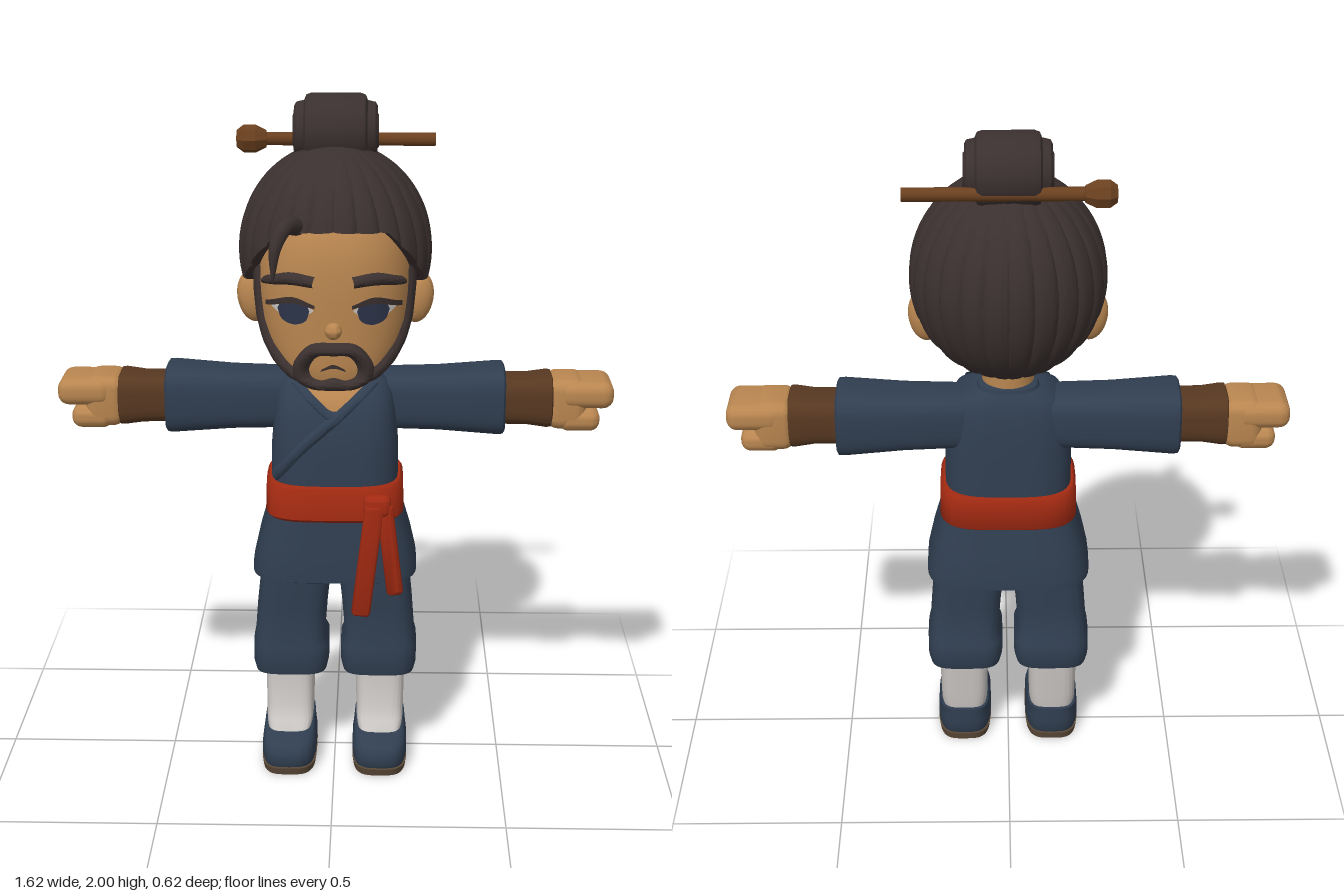
import * as THREE from 'three';
import { mergeVertices, toCreasedNormals } from 'three/addons/utils/BufferGeometryUtils.js';
import { RoundedBoxGeometry } from 'three/addons/geometries/RoundedBoxGeometry.js';

const mat = (name, color) => Object.assign(new THREE.MeshStandardMaterial({ color, side: THREE.DoubleSide }), { name });
const SKIN = mat('skin', 0xb98650), HAIR = mat('hair', 0x3a302f), NAVY = mat('navy cloth', 0x303e50),
  RED = mat('red sash', 0xa32a12), LEATHER = mat('leather', 0x573821), WOOD = mat('wood', 0x6a401f),
  WHITE = mat('sock white', 0xc6c2bf), SOLE = mat('sole', 0x5a4836), IRIS = mat('iris', 0x2c3449);

// Indexed sheet from a rule f(u, v); u may wrap around.
function grid(nu, nv, f, wrap = false) {
  const pos = [], idx = [], cols = wrap ? nu : nu + 1;
  for (let j = 0; j <= nv; j++) for (let i = 0; i < cols; i++) pos.push(...f(i / nu, j / nv, j));
  for (let j = 0; j < nv; j++) for (let i = 0; i < nu; i++) {
    const k = (i + 1) % cols, a = j * cols + i, b = j * cols + k, c = b + cols, d = a + cols;
    idx.push(a, b, c, a, c, d);
  }
  const g = new THREE.BufferGeometry();
  g.setAttribute('position', new THREE.Float32BufferAttribute(pos, 3));
  g.setIndex(idx);
  return g;
}

// Point on a superellipse section [y, halfWidth, zFront, zBack, centreX]; angle 0 faces +z.
const spow = (t, p) => Math.sign(t) * Math.abs(t) ** p;
function onSection([y, rx, zf, zb, cx = 0], n, a, off = 0) {
  return [cx + (rx + off) * spow(Math.sin(a), 2 / n), y, (zf + zb) / 2 + ((zf - zb) / 2 + off) * spow(Math.cos(a), 2 / n)];
}

// Closed body through a stack of sections.
function loft(secs, n = 4, nu = 48) {
  const last = secs.length + 1;
  return grid(nu, last, (u, v, j) => {
    const s = secs[THREE.MathUtils.clamp(j - 1, 0, secs.length - 1)];
    if (j === 0 || j === last) return [s[4] || 0, s[0], (s[2] + s[3]) / 2];
    return onSection(s, n, u * Math.PI * 2);
  }, true);
}

// Section of a stack at any height.
function sectionAt(secs, y) {
  let i = 0;
  while (i < secs.length - 2 && secs[i + 1][0] < y) i++;
  const t = THREE.MathUtils.clamp((y - secs[i][0]) / (secs[i + 1][0] - secs[i][0]), 0, 1);
  const s = [0, 1, 2, 3].map(k => THREE.MathUtils.lerp(secs[i][k], secs[i + 1][k], t));
  s[0] = y;
  return s;
}

// Raised or thin sheet on a body, between two edges given as [x, y] or, with polar, [angle, y].
function patch(body, lower, upper, off, { bulge = false, polar = false, closed = false } = {}) {
  const [lo, up] = [lower, upper].map(e => new THREE.CatmullRomCurve3(e.map(p => new THREE.Vector3(p[0], p[1], 0)), closed));
  return grid(closed ? 64 : 28, 8, (u, v) => {
    const p = lo.getPoint(u).lerp(up.getPoint(u), v), s = sectionAt(body.secs, p.y);
    const a = polar ? p.x : Math.asin(spow(THREE.MathUtils.clamp(p.x / s[1], -1, 1), body.n / 2));
    const o = bulge ? off * Math.sin(Math.PI * v) ** 0.5 - 0.004 : off;
    return onSection(s, body.n, a, o);
  });
}

function mirror(geo) {
  const g = geo.clone().scale(-1, 1, 1), ix = g.index.array;
  for (let i = 0; i < ix.length; i += 3) [ix[i], ix[i + 1]] = [ix[i + 1], ix[i]];
  return g;
}

export function createModel() {
  const model = new THREE.Group();
  model.name = 'figure';
  const add = (name, geo, material, crease = 0.8) => {
    const g = geo.clone();
    g.deleteAttribute('normal');
    g.deleteAttribute('uv');
    const mesh = new THREE.Mesh(toCreasedNormals(g, crease), material);
    mesh.name = name;
    model.add(mesh);
  };
  const pair = (name, geo, material, crease) => {
    add('left' + name, geo, material, crease);
    add('right' + name, mirror(geo), material, crease);
  };
  const block = (x0, x1, y0, y1, z0, z1, r) => {
    const g = new RoundedBoxGeometry(x1 - x0, y1 - y0, z1 - z0, 4, r);
    g.deleteAttribute('normal');
    g.deleteAttribute('uv');
    return mergeVertices(g.translate((x0 + x1) / 2, (y0 + y1) / 2, (z0 + z1) / 2));
  };

  // Feet and legs
  const fx = 0.137;
  pair('Sole', loft([[0, 0.08, 0.205, -0.105, fx], [0.022, 0.083, 0.21, -0.108, fx]], 3.5), SOLE);
  pair('Shoe', loft([[0.02, 0.078, 0.2, -0.1, fx], [0.035, 0.082, 0.206, -0.106, fx], [0.065, 0.082, 0.204, -0.107, fx],
    [0.085, 0.079, 0.19, -0.106, fx], [0.1, 0.077, 0.14, -0.106, fx], [0.113, 0.075, 0.08, -0.105, fx]], 3.5), NAVY);
  pair('Sock', loft([[0.08, 0.06, 0.13, -0.09, fx], [0.105, 0.068, 0.125, -0.093, fx], [0.125, 0.071, 0.095, -0.095, fx],
    [0.16, 0.072, 0.068, -0.096, fx], [0.3, 0.075, 0.06, -0.1, fx]]), WHITE);
  pair('TrouserLeg', loft([[0.28, 0.09, 0.09, -0.1, 0.132], [0.285, 0.108, 0.107, -0.125, 0.132], [0.31, 0.114, 0.112, -0.132, 0.132],
    [0.37, 0.114, 0.112, -0.13, 0.132], [0.395, 0.105, 0.105, -0.117, 0.135], [0.5, 0.105, 0.11, -0.115, 0.127],
    [0.68, 0.105, 0.11, -0.11, 0.108]]), NAVY);

  // Tunic
  const torso = { n: 3.3, secs: [[0.88, 0.185, 0.165, -0.145], [1, 0.185, 0.16, -0.14], [1.1, 0.177, 0.15, -0.132],
    [1.16, 0.168, 0.125, -0.125], [1.2, 0.15, 0.095, -0.115], [1.222, 0.1, 0.068, -0.1]] };
  add('tunicBody', loft(torso.secs, torso.n), NAVY);
  add('tunicSkirt', loft([[0.61, 0.232, 0.168, -0.178], [0.615, 0.243, 0.178, -0.187], [0.64, 0.242, 0.178, -0.186],
    [0.72, 0.224, 0.17, -0.17], [0.82, 0.195, 0.16, -0.15]], 3.8), NAVY);
  add('collar', loft([[1.2, 0.1, 0.05, -0.1], [1.232, 0.085, 0.04, -0.092], [1.235, 0.07, 0.03, -0.08]], 2.5), NAVY);
  add('openNeck', patch(torso, [[-0.095, 1.208], [-0.05, 1.165], [0, 1.13], [0.05, 1.165], [0.095, 1.208]],
    [[-0.095, 1.212], [-0.05, 1.222], [0, 1.222], [0.05, 1.222], [0.095, 1.212]], 0.004), SKIN);
  add('rightLapel', patch(torso, [[-0.125, 1.195], [-0.06, 1.135], [-0.01, 1.095]], [[-0.095, 1.212], [-0.045, 1.165], [0.005, 1.125]], 0.012, { bulge: true }), NAVY);
  add('leftLapel', patch(torso, [[-0.165, 0.91], [-0.09, 1.0], [0.02, 1.1], [0.125, 1.195]],
    [[-0.175, 0.95], [-0.1, 1.04], [0, 1.13], [0.095, 1.212]], 0.014, { bulge: true }), NAVY);

  // Sash with knot and two tails
  add('sash', loft([[0.8, 0.195, 0.166, -0.15], [0.81, 0.203, 0.177, -0.158], [0.9, 0.2, 0.174, -0.155], [0.91, 0.192, 0.166, -0.148]], 3.8), RED);
  const tail = (name, x, w, len, tilt, z) => add(name,
    block(-w / 2, w / 2, -len, 0, -0.02, 0.02, 0.014).rotateZ(tilt).translate(x, 0.87, z), RED);
  tail('longSashTail', 0.118, 0.055, 0.35, -0.115, 0.195);
  tail('shortSashTail', 0.145, 0.048, 0.285, 0.12, 0.187);
  add('sashKnot', block(0.085, 0.165, 0.83, 0.895, 0.165, 0.212, 0.02), RED);

  // Arms: lofted upright, then laid along x
  const arm = (secs, n) => loft(secs, n).rotateZ(-Math.PI / 2).translate(0, 1.123, 0);
  pair('Sleeve', arm([[0.08, 0.075, 0.04, -0.1], [0.15, 0.085, 0.052, -0.115], [0.3, 0.088, 0.058, -0.124], [0.47, 0.1, 0.067, -0.136],
    [0.488, 0.099, 0.066, -0.135], [0.494, 0.09, 0.058, -0.126], [0.48, 0.075, 0.045, -0.11]], 3.5), NAVY);
  pair('WristWrap', arm([[0.47, 0.07, 0.045, -0.105], [0.56, 0.071, 0.046, -0.106], [0.615, 0.078, 0.053, -0.113],
    [0.628, 0.077, 0.052, -0.112], [0.632, 0.068, 0.045, -0.104]], 3.5), LEATHER);
  pair('Palm', block(0.615, 0.73, 1.045, 1.195, -0.115, 0.05, 0.035), SKIN, 1.2);
  pair('Fingers', block(0.65, 0.808, 1.11, 1.19, -0.117, 0.055, 0.032), SKIN, 1.2);
  pair('FoldedFingers', block(0.65, 0.77, 1.04, 1.108, -0.112, 0.05, 0.03), SKIN, 1.2);

  // Head
  const head = { n: 2.4, secs: [[1.212, 0.06, 0.19, 0.09], [1.225, 0.1, 0.222, 0.04], [1.25, 0.14, 0.233, 0], [1.29, 0.172, 0.236, -0.07],
    [1.34, 0.195, 0.237, -0.13], [1.4, 0.21, 0.238, -0.17], [1.48, 0.217, 0.24, -0.2], [1.56, 0.217, 0.238, -0.22],
    [1.64, 0.205, 0.225, -0.22], [1.7, 0.18, 0.19, -0.2], [1.76, 0.12, 0.12, -0.15]] };
  add('head', loft(head.secs, head.n, 64), SKIN, 1.2);
  add('neck', new THREE.CylinderGeometry(0.075, 0.075, 0.2, 32).translate(0, 1.24, -0.01), SKIN);
  add('nose', new THREE.SphereGeometry(0.024, 20, 14).translate(0, 1.395, 0.24), SKIN, 3);
  pair('Ear', new THREE.SphereGeometry(1, 24, 16).scale(0.045, 0.075, 0.036).rotateZ(-0.15).translate(0.237, 1.43, -0.01), SKIN, 3);

  // Face
  pair('EyeWhite', patch(head, [[0.055, 1.45], [0.11, 1.415], [0.17, 1.45]], [[0.055, 1.455], [0.11, 1.482], [0.17, 1.455]], 0.003), WHITE);
  pair('Iris', patch(head, [[0.064, 1.45], [0.075, 1.422], [0.108, 1.41], [0.14, 1.422], [0.152, 1.45]],
    [[0.064, 1.45], [0.075, 1.472], [0.108, 1.48], [0.14, 1.472], [0.152, 1.45]], 0.005), IRIS);
  pair('EyeLid', patch(head, [[0.05, 1.458], [0.11, 1.47], [0.185, 1.45]], [[0.05, 1.468], [0.11, 1.488], [0.185, 1.464]], 0.007), HAIR);
  pair('Eyebrow', patch(head, [[0.055, 1.514], [0.12, 1.518], [0.19, 1.506]], [[0.05, 1.548], [0.12, 1.556], [0.185, 1.534]], 0.022, { bulge: true }), HAIR, 1.5);
  pair('JawBeard', patch(head, [[0.4, 1.222], [0.8, 1.23], [1.15, 1.26], [1.4, 1.33], [1.52, 1.42], [1.58, 1.55]],
    [[0.4, 1.28], [0.7, 1.29], [0.9, 1.325], [1.08, 1.37], [1.2, 1.44], [1.25, 1.55]], 0.02, { bulge: true, polar: true }), HAIR, 1.5);
  // Full loop from its right half
  const loop = half => [...half, ...half.slice(1, -1).reverse().map(([x, y]) => [-x, y])];
  add('moustacheAndGoatee', patch(head, loop([[0, 1.362], [0.065, 1.355], [0.106, 1.305], [0.1, 1.25], [0.055, 1.218], [0, 1.212]]),
    loop([[0, 1.322], [0.045, 1.318], [0.066, 1.285], [0.06, 1.262], [0.035, 1.252], [0, 1.26]]), 0.032, { bulge: true, closed: true }), HAIR, 1.5);
  add('mouth', patch(head, [[-0.035, 1.278], [0, 1.288], [0.035, 1.278]], [[-0.03, 1.286], [0, 1.299], [0.03, 1.286]], 0.006), HAIR);

  // Ridged hair cap with a shaped hairline
  const line = [[0, 1.67], [0.6, 1.662], [0.85, 1.6], [1.1, 1.535], [1.3, 1.49], [1.65, 1.5], [1.9, 1.42], [2.4, 1.335], [3.15, 1.31]];
  const hairline = a => {
    const i = Math.max(1, line.findIndex(p => p[0] >= a)), [p, q] = [line[i - 1], line[i]];
    return THREE.MathUtils.lerp(p[1], q[1], (a - p[0]) / (q[0] - p[0]));
  };
  add('hair', grid(216, 24, (u, v, j) => {
    const a = u * Math.PI * 2, low = Math.asin((hairline(Math.min(a, 2 * Math.PI - a)) - 1.57) / 0.3);
    const e = THREE.MathUtils.lerp(low, Math.PI / 2, Math.max(0, j - 1) / 23);
    const ridge = 1.005 - 0.04 * (1 - Math.abs(Math.sin(a * 12))) ** 2;
    const r = Math.cos(e) * ridge * (j === 0 ? 0.74 : 1), c = Math.cos(a);
    return [0.275 * r * Math.sin(a), 1.57 + 0.3 * Math.sin(e), -0.035 + (c > 0 ? 0.292 : 0.275) * r * c];
  }, true), HAIR, 1.1);

  // Loose strand, tapering to its tip
  const path = new THREE.CatmullRomCurve3([[-0.1, 1.68, 0.2], [-0.13, 1.69, 0.255], [-0.155, 1.64, 0.29], [-0.162, 1.555, 0.305]].map(p => new THREE.Vector3(...p)));
  const strand = new THREE.TubeGeometry(path, 20, 0.026, 10), sp = strand.attributes.position, v = new THREE.Vector3();
  for (let i = 0; i < sp.count; i++) {
    const t = Math.floor(i / 11) / 20, c = path.getPointAt(t);
    v.fromBufferAttribute(sp, i).sub(c).multiplyScalar(1 - 0.85 * t ** 2).add(c);
    sp.setXYZ(i, v.x, v.y, v.z);
  }
  add('looseStrand', strand, HAIR, 1.2);

  // Rolled bun and hairpin
  const half = [[0, 0.12], [0.045, 0.122], [0.051, 0.116], [0.054, 0.109], [0.07, 0.118], [0.08, 0.112], [0.085, 0.09], [0.1, 0.084], [0.105, 0.07], [0.105, 0]];
  const roll = [...half.map(([r, x]) => new THREE.Vector2(r, -x)), ...half.slice(0, -1).reverse().map(([r, x]) => new THREE.Vector2(r, x))];
  add('bun', new THREE.LatheGeometry(roll, 40).rotateZ(-Math.PI / 2).translate(0, 1.895, -0.085), HAIR);
  add('hairpin', new THREE.CylinderGeometry(0.019, 0.019, 0.53, 16).rotateZ(Math.PI / 2).translate(0.02, 1.857, -0.165), WOOD);
  add('hairpinKnob', new THREE.LatheGeometry([[0, -0.045], [0.025, -0.045], [0.04, -0.025], [0.04, 0.01], [0.025, 0.04], [0, 0.045]]
    .map(p => new THREE.Vector2(...p)), 8).rotateZ(-Math.PI / 2).translate(-0.243, 1.857, -0.165), WOOD, 0.4);
  return model;
}
